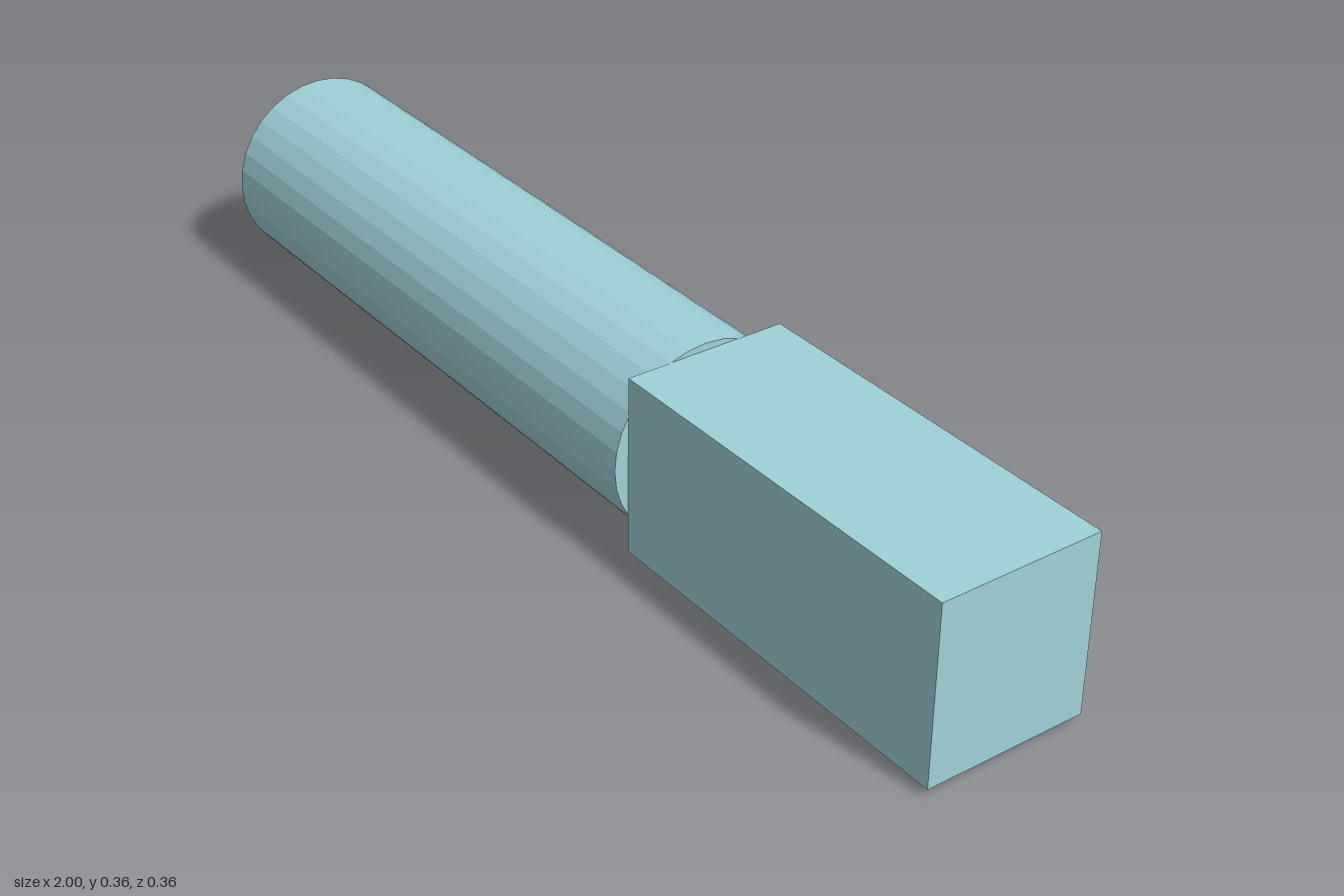
import * as THREE from 'three';

export function createModel() {
  const model = new THREE.Group();
  const paleTeal = new THREE.MeshStandardMaterial({ color: 0x9fd0d8 });
  paleTeal.name = 'paleTeal';

  const joint = 0.257; // x where the round shaft meets the square end
  const axisY = 0.179;

  // Round shaft lying along x, with crisp facets
  const shaftLength = joint + 1;
  const shaftGeometry = new THREE.CylinderGeometry(0.179, 0.179, shaftLength, 32)
    .rotateZ(Math.PI / 2)
    .toNonIndexed();
  shaftGeometry.computeVertexNormals();
  const shaft = new THREE.Mesh(shaftGeometry, paleTeal);
  shaft.name = 'roundShaft';
  shaft.position.set(joint - shaftLength / 2, axisY, 0);

  // Square end block
  const blockLength = 1 - joint;
  const block = new THREE.Mesh(new THREE.BoxGeometry(blockLength, 0.331, 0.305), paleTeal);
  block.name = 'squareEnd';
  block.position.set(joint + blockLength / 2, axisY, 0);

  model.add(shaft, block);
  return model;
}
